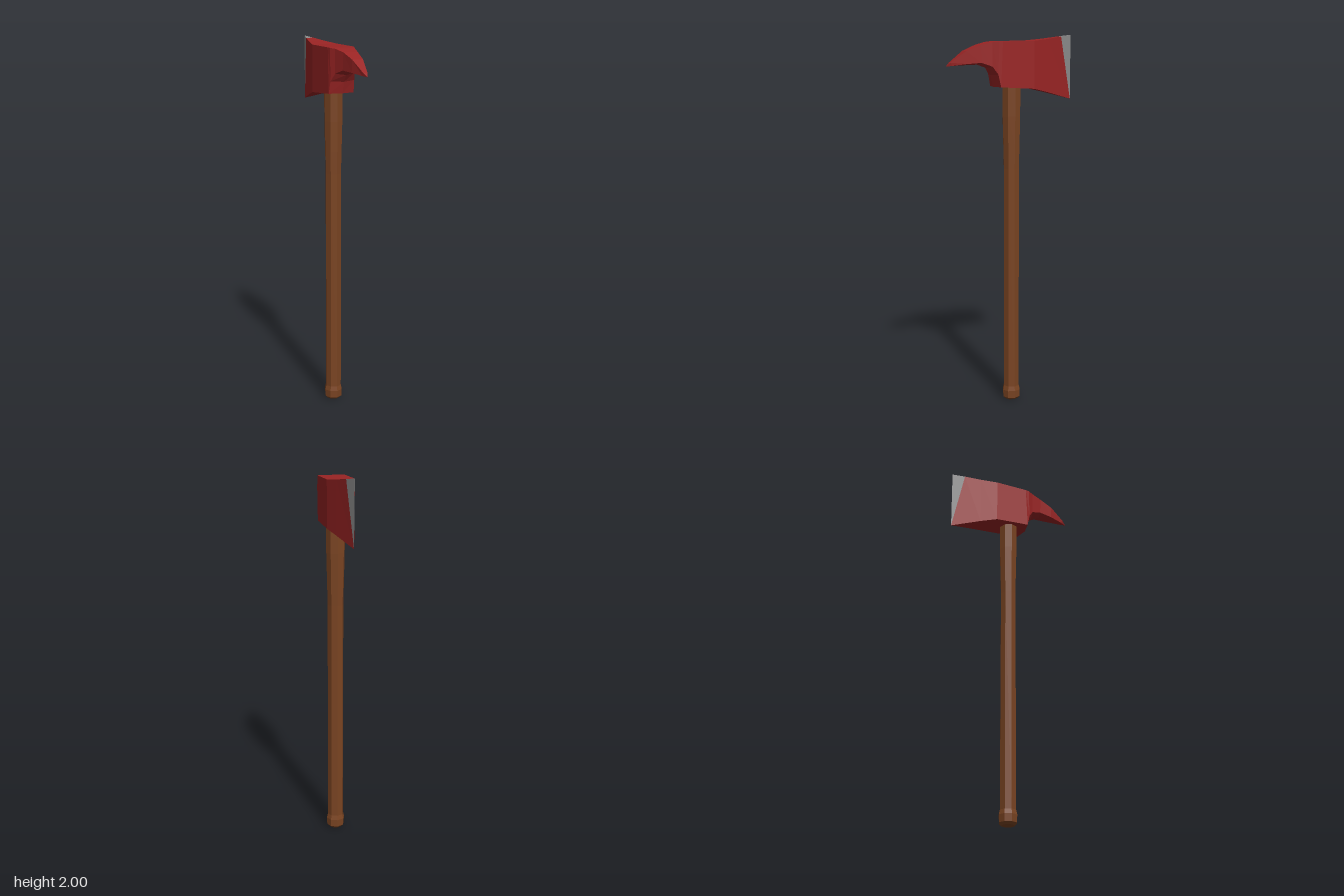
import * as THREE from 'three';

const paint = new THREE.MeshStandardMaterial({ color: 0x992424 });
paint.name = 'redPaint';
const steel = new THREE.MeshStandardMaterial({ color: 0x8a8a8a });
steel.name = 'bareSteel';
const wood = new THREE.MeshStandardMaterial({ color: 0x7a4422 });
wood.name = 'brownWood';

// Flat-faced loft through sections running from the pick (+z) to the edge (-z).
// Each section: top z, top y, top half width, bottom z, bottom y, bottom half width,
// then how far the middle of the underside stands forward and down as a ridge.
function loft(sections) {
  const rings = sections.map(([zt, yt, wt, zb, yb, wb, dz = 0, dy = 0]) => [
    new THREE.Vector3(wt, yt, zt),
    new THREE.Vector3(-wt, yt, zt),
    new THREE.Vector3(-wb, yb, zb),
    new THREE.Vector3(0, yb - dy, zb + dz),
    new THREE.Vector3(wb, yb, zb),
  ]);
  const points = [];
  const addFace = (a, b, c) => {
    if (new THREE.Triangle(a, b, c).getArea() > 1e-7) points.push(a, b, c);
  };
  for (let i = 0; i < rings.length - 1; i++) {
    for (let j = 0; j < 5; j++) {
      const k = (j + 1) % 5;
      addFace(rings[i][j], rings[i + 1][j], rings[i][k]);
      addFace(rings[i][k], rings[i + 1][j], rings[i + 1][k]);
    }
  }
  const geometry = new THREE.BufferGeometry().setFromPoints(points);
  geometry.computeVertexNormals();
  return geometry;
}

function addMesh(group, name, geometry, material) {
  const mesh = new THREE.Mesh(geometry, material);
  mesh.name = name;
  group.add(mesh);
  return mesh;
}

export function createModel() {
  const axe = new THREE.Group();
  axe.name = 'axe';

  // Octagonal handle: rounded butt, swollen grip end, straight shaft, thicker neck
  const profile = [
    [0, 0], [0.035, 0.002], [0.048, 0.015], [0.05, 0.055], [0.044, 0.08],
    [0.043, 1.3], [0.046, 1.42], [0.05, 1.58], [0.05, 1.78], [0, 1.78],
  ].map(([r, y]) => new THREE.Vector2(r, y));
  const handleGeometry = new THREE.LatheGeometry(profile, 8).toNonIndexed();
  handleGeometry.computeVertexNormals();
  addMesh(axe, 'handle', handleGeometry, wood).position.z = -0.01;

  // Painted head: curved pick, thick eye and tapering blade
  const head = loft([
    [0.358, 1.842, 0, 0.358, 1.842, 0],
    [0.335, 1.862, 0.012, 0.325, 1.846, 0.012],
    [0.255, 1.92, 0.03, 0.25, 1.855, 0.03, 0.005, 0.007],
    [0.18, 1.95, 0.04, 0.175, 1.86, 0.041, 0.01, 0.01],
    [0.12, 1.964, 0.055, 0.12, 1.84, 0.055, 0.015, 0.008],
    [0.09, 1.967, 0.07, 0.094, 1.8, 0.068, 0.015, 0.005],
    [0.07, 1.968, 0.072, 0.08, 1.735, 0.072, 0.015],
    [-0.11, 1.97, 0.072, -0.11, 1.723, 0.072],
    [-0.2, 1.979, 0.047, -0.2, 1.702, 0.047],
    [-0.29, 1.991, 0.022, -0.358, 1.66, 0],
  ]);
  addMesh(axe, 'head', head, paint);

  // Ground cutting edge, wide at the top and vanishing at the bottom corner
  const edge = loft([
    [-0.29, 1.991, 0.022, -0.358, 1.66, 0],
    [-0.358, 2, 0, -0.358, 1.66, 0],
  ]);
  addMesh(axe, 'cuttingEdge', edge, steel);

  return axe;
}
